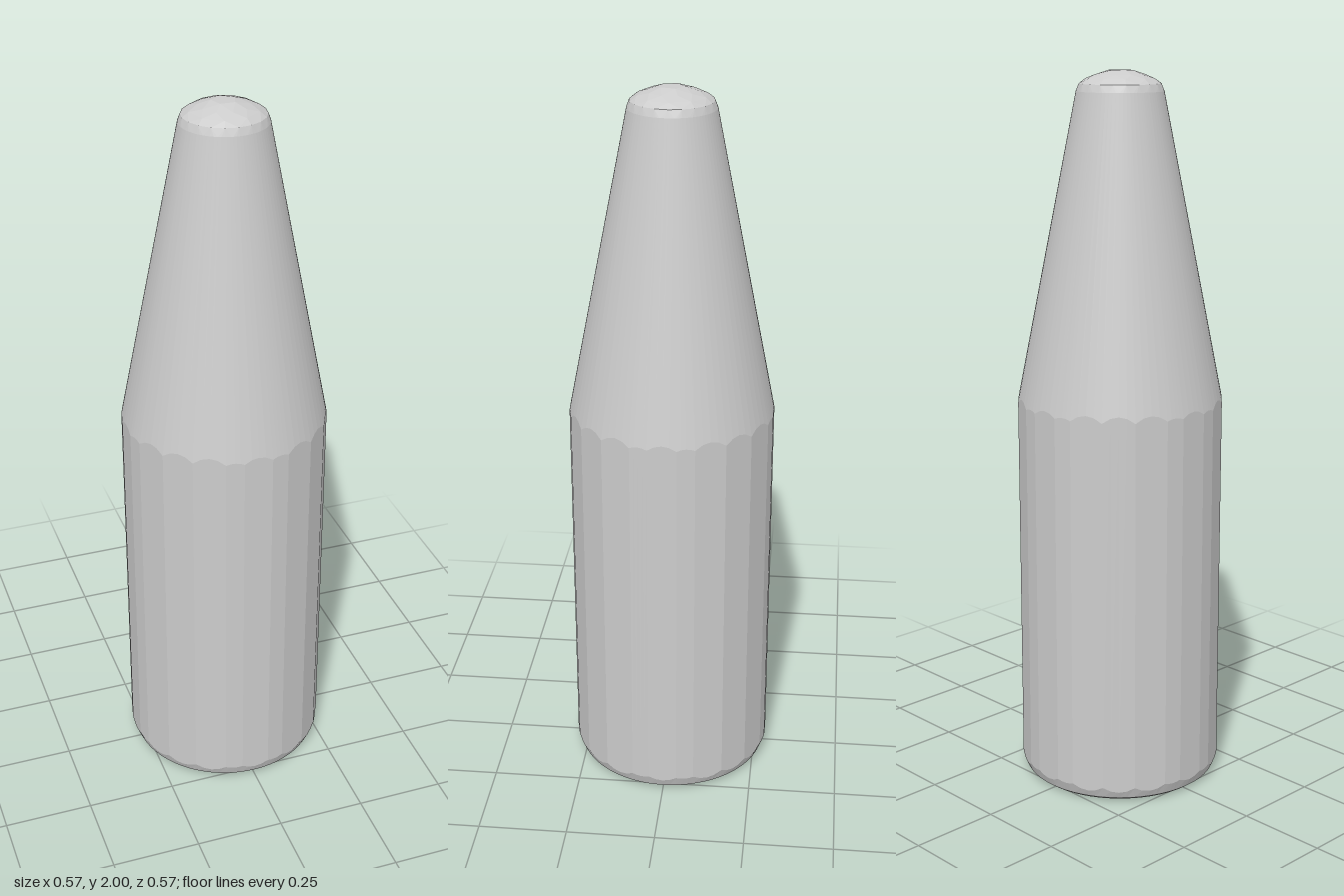
import * as THREE from 'three';
import { ConvexGeometry } from 'three/addons/geometries/ConvexGeometry.js';

const TOP_Y = 1.945;
const coneRadius = (y) => 0.284 - 0.1976 * (y - 1.11);
const coneHeight = (r) => 1.11 + (0.284 - r) / 0.1976;

// Plan outline of the barrel: six corners per quadrant, each side split in four
function outline() {
  const corners = [];
  for (let q = 0; q < 4; q++) {
    for (const a of [8, 18, 36, 54, 72, 82]) {
      const t = THREE.MathUtils.degToRad(a + q * 90);
      corners.push(new THREE.Vector2(Math.sin(t) * 0.2865, Math.cos(t) * 0.2865));
    }
  }
  const points = [];
  corners.forEach((c, i) => {
    const next = corners[(i + 1) % corners.length];
    for (let k = 0; k < 4; k++) points.push(c.clone().lerp(next, k / 4));
  });
  return points;
}

// Skin closed rings of equal length, listed from bottom to top
function skin(rings) {
  const n = rings[0].length;
  const index = [];
  for (let j = 0; j < rings.length - 1; j++) {
    for (let i = 0; i < n; i++) {
      const a = j * n + i, b = j * n + (i + 1) % n;
      index.push(a, b, b + n, a, b + n, a + n);
    }
  }
  const indexed = new THREE.BufferGeometry().setFromPoints(rings.flat());
  indexed.setIndex(index);
  const geometry = indexed.toNonIndexed();
  geometry.computeVertexNormals();
  return geometry;
}

export function createModel() {
  const group = new THREE.Group();
  group.name = 'taperedBody';
  const material = new THREE.MeshStandardMaterial({ color: 0xcccccc, flatShading: true });
  const add = (name, geometry) => {
    const mesh = new THREE.Mesh(geometry, material);
    mesh.name = name;
    group.add(mesh);
  };

  const plan = outline();
  const round = (r, y) => plan.map((p) => {
    const s = r / p.length();
    return new THREE.Vector3(p.x * s, y, p.y * s);
  });
  const faceted = (heightAt) => plan.map((p) => new THREE.Vector3(p.x, heightAt(p.length()), p.y));

  // Scalloped seams follow where the round ends cut the faceted sides
  const lowSeam = faceted((r) => 0.03 + (r - 0.2825) * 4);
  const highSeam = faceted(coneHeight);
  const coneTop = round(coneRadius(TOP_Y), TOP_Y);

  add('roundedBase', skin([round(0, 0), round(0.25, 0), round(0.263, 0.004), round(0.274, 0.012), lowSeam]));
  add('facetedBarrel', skin([lowSeam, highSeam]));
  add('taperedNeck', skin([highSeam, coneTop]));

  // Domed tip from staggered rings: count, radius, height, turn
  const tip = [...coneTop];
  const tipRings = [
    [20, 0.112, 1.965, 0], [10, 0.095, 1.978, 0.5], [10, 0.068, 1.989, 0], [5, 0.034, 2, 0.5],
  ];
  for (const [count, r, y, turn] of tipRings) {
    for (let i = 0; i < count; i++) {
      const t = (i + turn) / count * Math.PI * 2;
      tip.push(new THREE.Vector3(Math.sin(t) * r, y, Math.cos(t) * r));
    }
  }
  add('domedTip', new ConvexGeometry(tip));

  return group;
}
